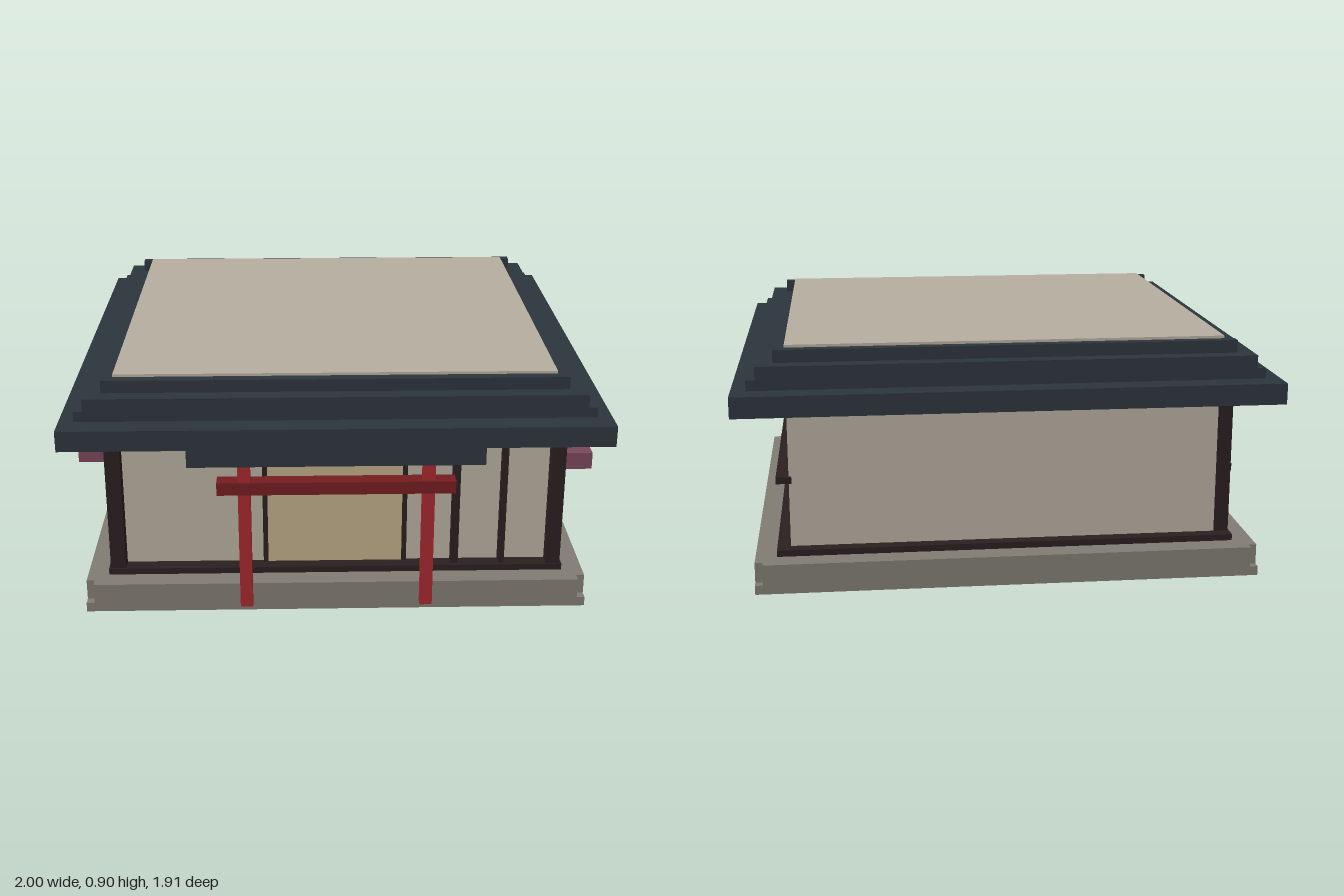
import * as THREE from 'three';

const mat = (name, color) => {
  const m = new THREE.MeshStandardMaterial({ color });
  m.name = name;
  return m;
};

export function createModel() {
  const plaster = mat('plaster', 0xb7afa1);
  const slate = mat('slate roof', 0x2d363d);
  const timber = mat('dark timber', 0x2b2020);
  const stone = mat('stone', 0x827d73);
  const red = mat('gate red', 0xa62a2d);
  const darkRed = mat('gate dark red', 0x761d20);
  const paper = mat('door paper', 0xbfad88);
  const plum = mat('plum', 0x7b485c);

  const model = new THREE.Group();
  model.name = 'pavilion';

  // Box given by its extents along each axis
  const box = (name, material, [x0, x1], [y0, y1], [z0, z1], parent = model) => {
    const mesh = new THREE.Mesh(new THREE.BoxGeometry(x1 - x0, y1 - y0, z1 - z0), material);
    mesh.position.set((x0 + x1) / 2, (y0 + y1) / 2, (z0 + z1) / 2);
    mesh.name = name;
    parent.add(mesh);
    return mesh;
  };

  // Stone base: a slab with a notched-corner step above it
  box('baseSlab', stone, [-0.94, 0.94], [0, 0.035], [-0.9, 0.905]);
  box('baseStepLong', stone, [-0.91, 0.91], [0.035, 0.112], [-0.9, 0.905]);
  box('baseStepWide', stone, [-0.94, 0.94], [0.035, 0.1115], [-0.87, 0.87]);

  // Walls, rising through the roof as its flat top
  box('walls', plaster, [-0.81, 0.81], [0.112, 0.9], [-0.768, 0.768]);

  // Timber sills, head rails and side rails
  box('sill', timber, [-0.86, 0.86], [0.112, 0.136], [-0.815, 0.825]);
  box('headRail', timber, [-0.86, 0.86], [0.65, 0.678], [-0.815, 0.815]);
  for (const s of [-1, 1]) {
    const x = s > 0 ? [0.8, 0.857] : [-0.857, -0.8];
    box('sideRail', timber, x, [0.38, 0.406], [-0.775, 0.77]);
    box('frontCornerPost', timber, s > 0 ? [0.8, 0.853] : [-0.853, -0.795], [0.112, 0.68], [0.765, 0.818]);
  }
  box('backCornerPost', timber, [-0.855, -0.8], [0.112, 0.68], [-0.772, -0.72]);

  // Front door, its jambs and the wall studs beside it
  box('door', paper, [-0.257, 0.252], [0.136, 0.6], [0.767, 0.775]);
  for (const x of [-0.266, 0.26]) box('doorJamb', timber, [x - 0.009, x + 0.009], [0.136, 0.65], [0.765, 0.782]);
  box('wallStud', timber, [0.437, 0.465], [0.136, 0.65], [0.765, 0.81]);
  box('wallStud', timber, [0.619, 0.641], [0.136, 0.65], [0.765, 0.81]);
  box('doorLintel', darkRed, [-0.48, 0.473], [0.576, 0.64], [0.767, 0.812]);

  // Stepped roof
  box('eave', slate, [-1, 1], [0.678, 0.756], [-0.955, 0.957]);
  box('roofLowerTier', slate, [-0.945, 0.945], [0.756, 0.795], [-0.866, 0.868]);
  box('roofUpperTier', slate, [-0.912, 0.912], [0.795, 0.843], [-0.866, 0.868]);
  box('roofRidgeFront', slate, [-0.85, 0.85], [0.843, 0.89], [0.767, 0.808]);
  box('roofRidgeBack', slate, [-0.85, 0.85], [0.843, 0.89], [-0.808, -0.767]);
  box('frontValance', slate, [-0.54, 0.535], [0.612, 0.68], [0.907, 0.957]);

  // Free-standing gate in front of the door
  const gate = new THREE.Group();
  gate.name = 'gate';
  model.add(gate);
  for (const x of [-0.336, 0.332]) box('gatePost', red, [x - 0.023, x + 0.023], [0.04, 0.613], [0.918, 0.952], gate);
  box('gateBeam', darkRed, [-0.435, 0.43], [0.502, 0.55], [0.9, 0.96], gate);

  // Side canopies: shallow boxes, open below
  const canopy = (side, y0, y1, z0, z1) => {
    const g = new THREE.Group();
    g.name = 'sideCanopy';
    const t = 0.025;
    const xs = (a, b) => (side > 0 ? [a, b] : [-b, -a]);
    box('canopyTop', plum, xs(0.82, 1), [y1 - 0.015, y1], [z0, z1], g);
    const y = [y0, y1 - 0.015];
    box('canopyOuterRim', plum, xs(1 - t, 1), y, [z0, z1], g);
    box('canopyInnerRim', plum, xs(0.82, 0.82 + t), y, [z0, z1], g);
    box('canopyBackRim', plum, xs(0.82 + t, 1 - t), y, [z0, z0 + t], g);
    box('canopyFrontRim', plum, xs(0.82 + t, 1 - t), y, [z1 - t, z1], g);
    model.add(g);
  };
  canopy(1, 0.43, 0.497, 0.383, 0.6);
  canopy(1, 0.411, 0.47, 0.15, 0.365);
  box('canopyLink', plum, [0.82, 0.995], [0.43, 0.491], [0.327, 0.383]);
  canopy(-1, 0.435, 0.497, 0.3, 0.5);
  canopy(-1, 0.435, 0.493, 0.1, 0.3);

  return model;
}
